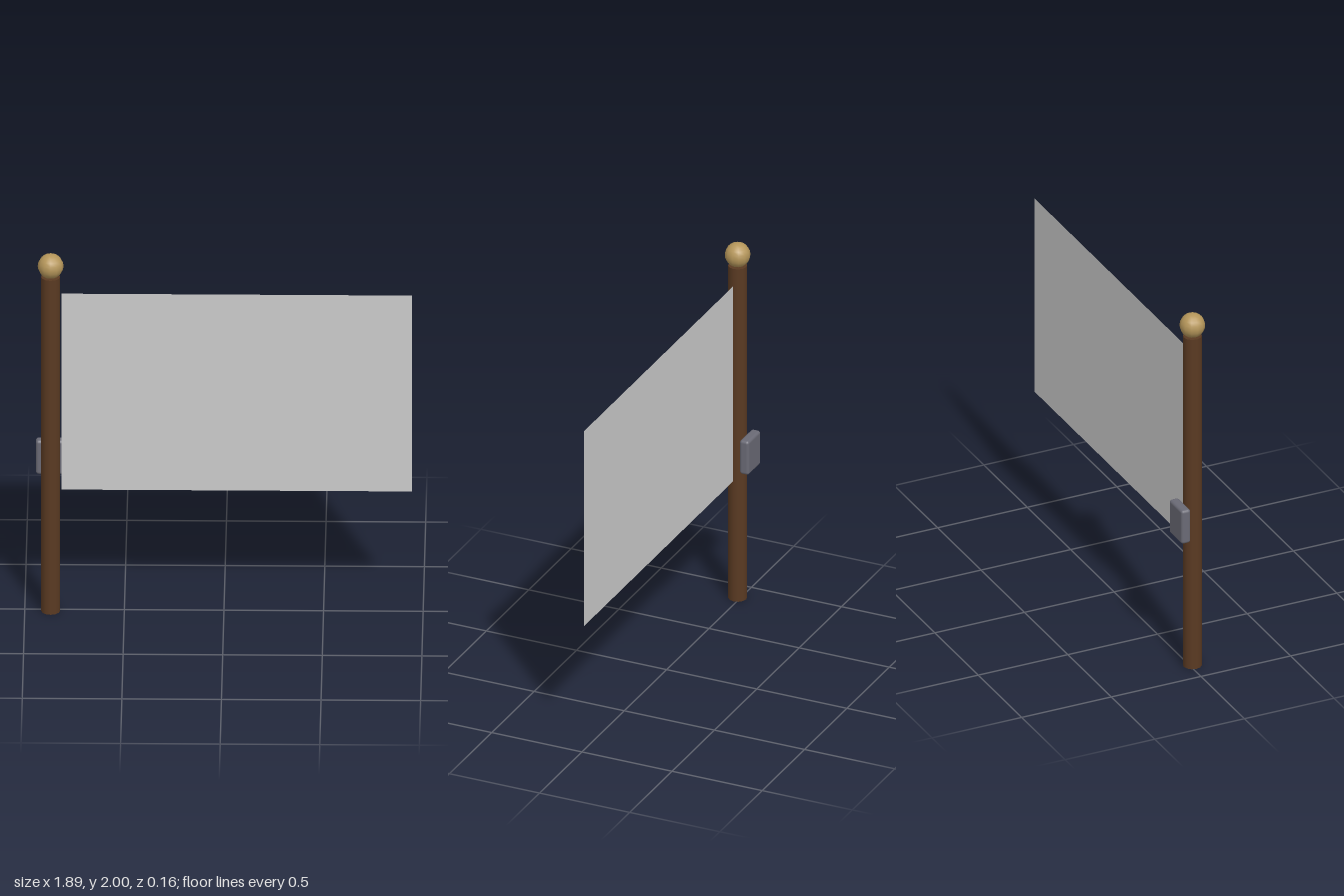
import * as THREE from 'three';
import { RoundedBoxGeometry } from 'three/addons/geometries/RoundedBoxGeometry.js';

const POLE_X = -0.87;
const POLE_Z = 0.015;

export function createModel() {
  const group = new THREE.Group();

  const add = (name, geometry, material, x, y, z) => {
    const mesh = new THREE.Mesh(geometry, material);
    mesh.name = name;
    mesh.position.set(x, y, z);
    group.add(mesh);
    return mesh;
  };

  const wood = new THREE.MeshStandardMaterial({ color: 0x5a3a22 });
  const brass = new THREE.MeshStandardMaterial({ color: 0xb5965a });
  const iron = new THREE.MeshStandardMaterial({ color: 0x6a6a75 });
  const cloth = new THREE.MeshStandardMaterial({ color: 0xcccccc, side: THREE.DoubleSide });

  // Upright wooden pole
  add('pole', new THREE.CylinderGeometry(0.048, 0.048, 1.875, 12), wood, POLE_X, 0.9375, POLE_Z);

  // Ball on top of the pole
  add('finial', new THREE.SphereGeometry(0.065, 12, 10), brass, POLE_X, 1.935, POLE_Z);

  // Flat flag panel, flying to the left of the pole
  add('flag', new THREE.PlaneGeometry(1.76, 1.1), cloth, 0.065, 1.23, POLE_Z);

  // Rounded mounting block behind the pole
  add('bracket', new RoundedBoxGeometry(0.15, 0.19, 0.052, 2, 0.015), iron, POLE_X, 0.835, -0.054);

  return group;
}
